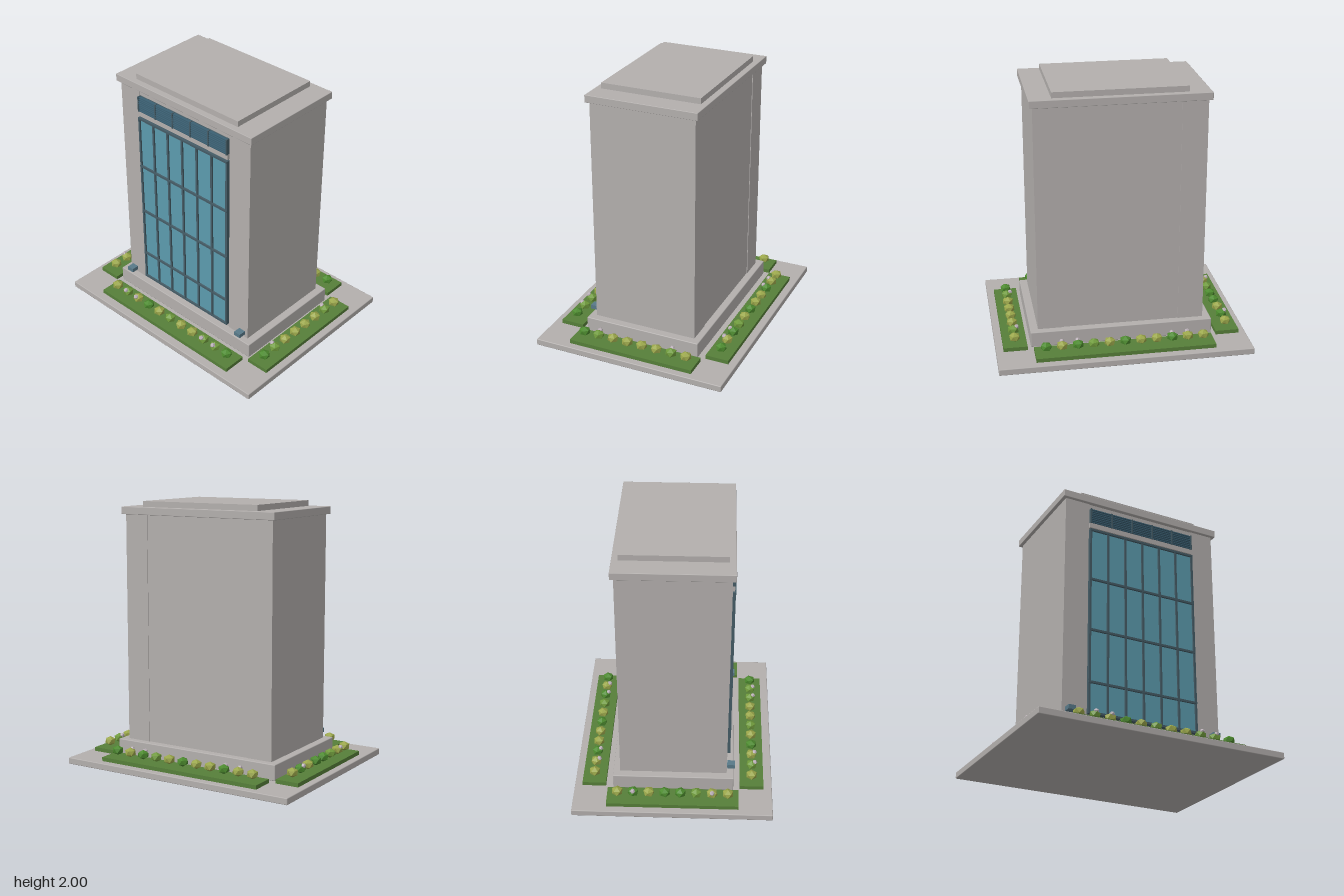
import * as THREE from 'three';
import { RoundedBoxGeometry } from 'three/addons/geometries/RoundedBoxGeometry.js';

const mat = (name, color, flatShading = false) => {
  const m = new THREE.MeshStandardMaterial({ color, flatShading });
  m.name = name;
  return m;
};

export function createModel() {
  const model = new THREE.Group();
  model.name = 'officeTower';
  const stone = mat('stone', 0xb3afad);
  const glass = mat('glass', 0x5c9bae);
  const frame = mat('frame', 0x455c66);
  const louvre = mat('louvre', 0x3b6073);
  const lampMetal = mat('lampMetal', 0x587988);
  const grass = mat('grass', 0x567f39);
  const greens = [
    mat('oliveLeaf', 0x9aa64a, true),
    mat('midLeaf', 0x6f9a3c, true),
    mat('darkLeaf', 0x4c8a2e, true),
  ];
  const blossom = mat('blossom', 0xbbb0b8, true);

  // Box given by its limits on each axis; bevel rounds the edges slightly
  const box = (name, material, [x0, x1], [y0, y1], [z0, z1], parent = model, bevel = 0) => {
    const size = [x1 - x0, y1 - y0, z1 - z0];
    const geo = bevel ? new RoundedBoxGeometry(...size, 1, bevel) : new THREE.BoxGeometry(...size);
    const mesh = new THREE.Mesh(geo, material);
    mesh.position.set((x0 + x1) / 2, (y0 + y1) / 2, (z0 + z1) / 2);
    mesh.name = name;
    parent.add(mesh);
    return mesh;
  };

  // Pavement, plinth, tower and roof
  box('pavement', stone, [-0.955, 0.955], [0, 0.05], [-0.752, 0.752], model, 0.006);
  box('plinth', stone, [-0.692, 0.692], [0.05, 0.17], [-0.457, 0.457], model, 0.006);
  box('core', stone, [-0.44, 0.44], [0.17, 1.9], [-0.4, 0.4]);
  for (const s of [-1, 1]) {
    const xs = s < 0 ? [-0.632, -0.44] : [0.44, 0.632];
    box('sideWall', stone, xs, [0.17, 1.9], [-0.405, 0.405]);
  }
  box('cornice', stone, [-0.658, 0.658], [1.9, 1.957], [-0.43, 0.43], model, 0.004);
  box('roofSlab', stone, [-0.493, 0.493], [1.957, 2], [-0.382, 0.382]);
  box('lintel', stone, [-0.44, 0.44], [1.69, 1.73], [0.4, 0.425]);

  // Curtain wall with its grid of bars
  const curtain = new THREE.Group();
  curtain.name = 'curtainWall';
  model.add(curtain);
  box('glazing', glass, [-0.435, 0.435], [0.21, 1.67], [0.4, 0.42], curtain);
  for (let i = 0; i <= 6; i++) {
    const x = -0.433 + i * 0.1443;
    box('mullion', frame, [x - 0.008, x + 0.008], [0.207, 1.678], [0.4, 0.431], curtain);
  }
  for (const y of [0.215, 0.445, 0.85, 1.257, 1.67]) {
    box('transom', frame, [-0.441, 0.441], [y - 0.008, y + 0.008], [0.4, 0.434], curtain);
  }

  // Ventilation grille above the glazing
  const grille = new THREE.Group();
  grille.name = 'grille';
  model.add(grille);
  box('grilleBack', frame, [-0.435, 0.435], [1.73, 1.85], [0.4, 0.408], grille);
  for (let i = 0; i < 8; i++) {
    const y = 1.736 + i * 0.0155;
    box('slat', louvre, [-0.435, 0.435], [y - 0.004, y + 0.004], [0.408, 0.43], grille);
  }
  for (const x of [-0.433, -0.26, -0.087, 0.087, 0.26, 0.433]) {
    box('grillePost', frame, [x - 0.005, x + 0.005], [1.728, 1.852], [0.405, 0.433], grille);
  }

  // Wall lamps at the foot of the tower
  for (const x of [-0.58, 0.58]) {
    box('lamp', lampMetal, [x - 0.028, x + 0.028], [0.198, 0.23], [0.41, 0.468]);
    box('lampBracket', lampMetal, [x - 0.02, x + 0.02], [0.2, 0.215], [0.4, 0.415]);
  }

  // Low-poly shrubs, standing on a vertex
  const shrubGeo = new THREE.IcosahedronGeometry(0.045, 0).rotateZ(-0.5536).scale(1, 0.82, 1);
  const flowerGeo = new THREE.IcosahedronGeometry(0.02, 0);
  const place = (name, geo, material, x, y, z, turn) => {
    const mesh = new THREE.Mesh(geo, material);
    mesh.position.set(x, y, z);
    mesh.rotation.y = turn;
    mesh.name = name;
    model.add(mesh);
  };

  // Lawn strips, each with a row of shrubs (colour index) and some blossoms
  const beds = [
    { x: 0, z: 0.597, along: 'x', colours: [0, 1, 0, 2, 0, 1, 0, 0, 1, 1, 2], flowers: [1, 2, 8, 9] },
    { x: 0, z: -0.603, along: 'x', colours: [0, 0, 2, 0, 0, 2, 0, 1, 2, 0, 2], flowers: [1, 2, 8, 9] },
    { x: -0.81, z: 0, along: 'z', colours: [0, 2, 0, 2, 2, 1, 0, 0], flowers: [1, 6] },
    { x: 0.81, z: 0, along: 'z', colours: [0, 1, 0, 0, 0, 0, 1, 2], flowers: [1, 6] },
  ];
  for (const { x, z, along, colours, flowers } of beds) {
    const onX = along === 'x';
    const hx = onX ? 0.675 : 0.09;
    const hz = onX ? 0.09 : 0.495;
    box('lawn', grass, [x - hx, x + hx], [0.05, 0.08], [z - hz, z + hz]);
    colours.forEach((c, i) => {
      const t = (i - (colours.length - 1) / 2) * 0.1187;
      const px = onX ? t : x;
      const pz = onX ? z : t;
      place('shrub', shrubGeo, greens[c], px, 0.126, pz, i * 0.9);
      if (flowers.includes(i)) {
        place('blossom', flowerGeo, blossom, px + (onX ? 0 : -0.026), 0.148, pz + (onX ? 0.024 : 0), i);
      }
    });
  }
  return model;
}
